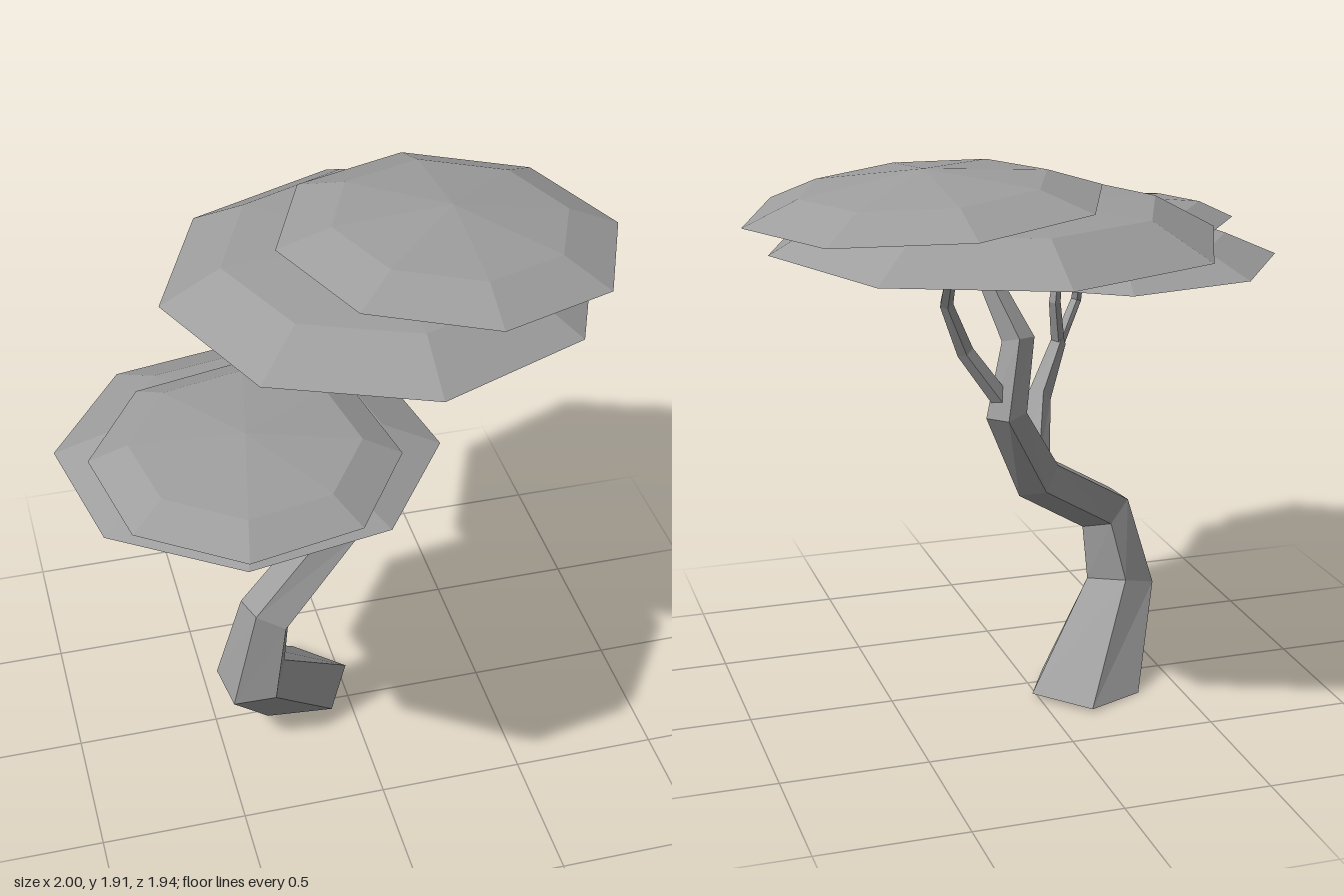
import * as THREE from 'three';

const bark = new THREE.MeshStandardMaterial({ color: 0x9e9e9e, flatShading: true, side: THREE.DoubleSide });
const leaves = new THREE.MeshStandardMaterial({ color: 0x9e9e9e, flatShading: true });

// Five-sided limb swept through stations [x, y, z, radius]; open at the root, closed at the tip
function limb(name, stations, startDirection) {
  const sides = 5;
  const centres = stations.map(([x, y, z]) => new THREE.Vector3(x, y, z));
  const last = centres.length - 1;
  const reference = new THREE.Vector3(0, 0, 1);
  const positions = [];
  const index = [];
  centres.forEach((c, i) => {
    const t = new THREE.Vector3();
    if (i > 0) t.add(c.clone().sub(centres[i - 1]).normalize());
    if (i < last) t.add(centres[i + 1].clone().sub(c).normalize());
    if (i === 0 && startDirection) t.copy(startDirection);
    t.normalize();
    const u = reference.clone().cross(t).normalize();
    const v = t.clone().cross(u);
    for (let j = 0; j < sides; j++) {
      const a = (j / sides) * Math.PI * 2 + Math.PI / 4;
      const p = c.clone()
        .addScaledVector(u, Math.cos(a) * stations[i][3])
        .addScaledVector(v, Math.sin(a) * stations[i][3]);
      positions.push(p.x, p.y, p.z);
    }
  });
  const tip = positions.length / 3;
  positions.push(...centres[last].toArray());
  for (let j = 0; j < sides; j++) {
    const k = (j + 1) % sides;
    for (let i = 0; i < last; i++) {
      const a = i * sides, b = a + sides;
      index.push(a + j, a + k, b + k, a + j, b + k, b + j);
    }
    index.push(tip, last * sides + j, last * sides + k);
  }
  const geometry = new THREE.BufferGeometry();
  geometry.setAttribute('position', new THREE.Float32BufferAttribute(positions, 3));
  geometry.setIndex(index);
  geometry.computeVertexNormals();
  const mesh = new THREE.Mesh(geometry, bark);
  mesh.name = name;
  return mesh;
}

// Flat eight-sided leaf cushion: shallow underside, bevelled shoulder, low peak
function canopy(name, { at, rim, shoulder, rise, peak, sag, turn = 0, tilt = [0, 0] }) {
  const profile = [[0, -sag], [rim, 0], [shoulder, rise], [0, peak]]
    .map(([r, y]) => new THREE.Vector2(r, y));
  const geometry = new THREE.LatheGeometry(profile, 8, -THREE.MathUtils.degToRad(turn));
  const mesh = new THREE.Mesh(geometry, leaves);
  mesh.name = name;
  mesh.position.set(...at);
  mesh.rotation.set(tilt[0], 0, tilt[1]);
  return mesh;
}

export function createModel() {
  const tree = new THREE.Group();
  tree.name = 'tree';

  // Winding trunk, flared at the ground
  tree.add(limb('trunk', [
    [-0.17, 0.016, -0.108, 0.2],
    [-0.384, 0.31, 0.125, 0.128],
    [-0.325, 0.59, 0.13, 0.1],
    [-0.015, 0.8, -0.04, 0.09],
    [0.135, 1.08, -0.182, 0.072],
    [0.08, 1.32, -0.14, 0.058],
    [0.165, 1.53, -0.07, 0.039],
    [0.14, 1.68, -0.05, 0.033],
  ], new THREE.Vector3(-0.06, 1, 0)));

  // Thin branch reaching the rear of the high canopy
  tree.add(limb('upperBranch', [
    [0.13, 1.1, -0.18, 0.035],
    [0.28, 1.31, -0.2, 0.03],
    [0.36, 1.49, -0.27, 0.023],
    [0.38, 1.68, -0.44, 0.015],
  ]));

  // Low side branch with its two twigs
  tree.add(limb('lowerBranch', [
    [-0.02, 0.83, -0.01, 0.055],
    [-0.1, 1.01, 0.19, 0.045],
    [-0.22, 1.17, 0.33, 0.03],
  ]));
  tree.add(limb('outerTwig', [
    [-0.21, 1.15, 0.32, 0.024],
    [-0.325, 1.29, 0.44, 0.02],
    [-0.325, 1.47, 0.37, 0.014],
  ]));
  tree.add(limb('innerTwig', [
    [-0.22, 1.15, 0.33, 0.026],
    [-0.19, 1.33, 0.28, 0.022],
    [-0.205, 1.47, 0.28, 0.014],
  ]));

  // Two stacked pairs of leaf cushions
  tree.add(canopy('highCanopyLower', {
    at: [0.17, 1.675, -0.22], rim: 0.75, shoulder: 0.54, rise: 0.115, peak: 0.14, sag: 0.03,
  }));
  tree.add(canopy('highCanopyUpper', {
    at: [0.405, 1.8, -0.21], rim: 0.595, shoulder: 0.41, rise: 0.07, peak: 0.12, sag: 0.03,
    tilt: [0, -0.06],
  }));
  tree.add(canopy('lowCanopyLower', {
    at: [-0.41, 1.465, 0.33], rim: 0.605, shoulder: 0.42, rise: 0.08, peak: 0.105, sag: 0.03,
    turn: 12,
  }));
  tree.add(canopy('lowCanopyUpper', {
    at: [-0.45, 1.56, 0.5], rim: 0.478, shoulder: 0.355, rise: 0.06, peak: 0.095, sag: 0.025,
    turn: 11, tilt: [0.059, 0],
  }));

  return tree;
}
